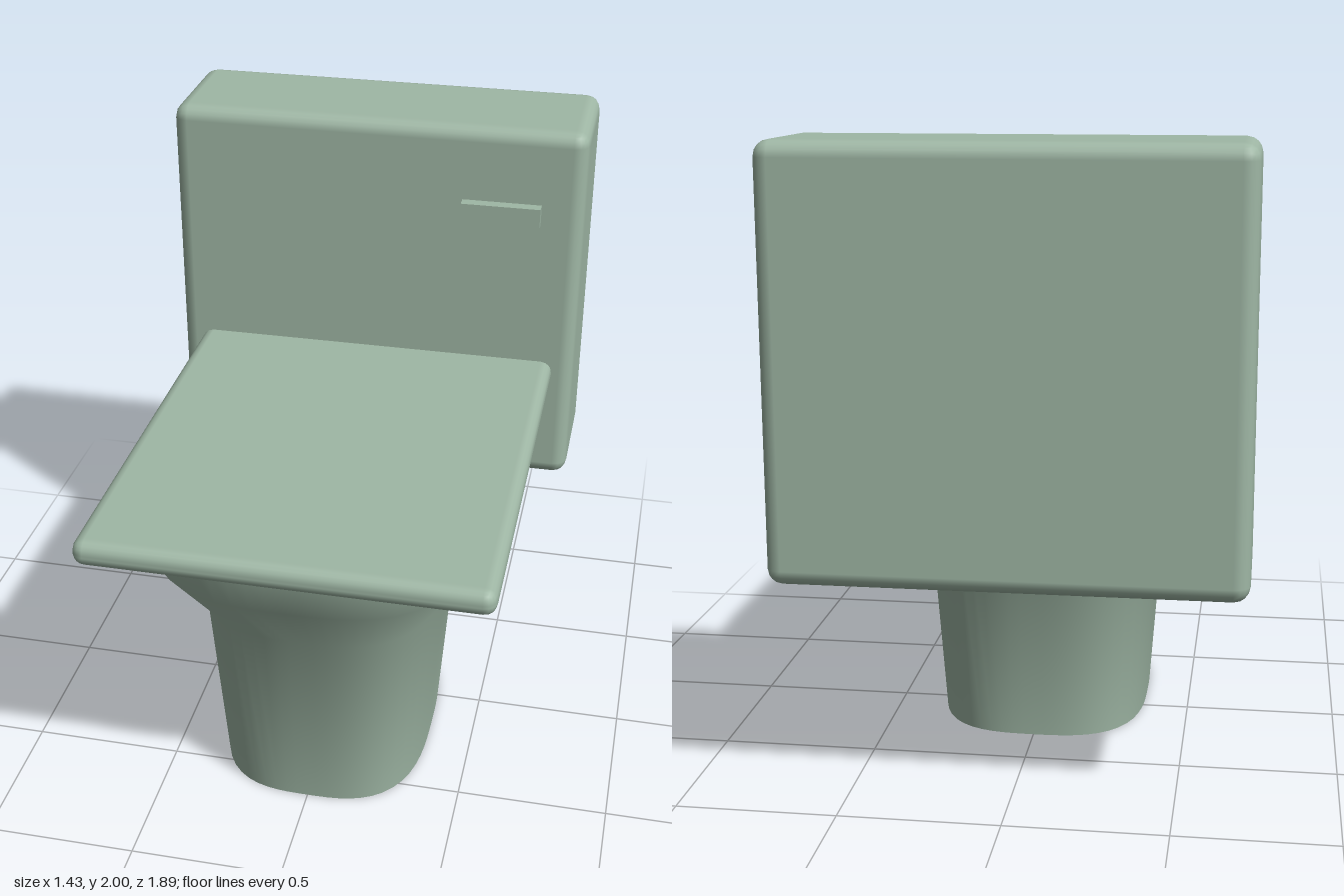
import * as THREE from 'three';
import { toCreasedNormals } from 'three/addons/utils/BufferGeometryUtils.js';
import { RoundedBoxGeometry } from 'three/addons/geometries/RoundedBoxGeometry.js';

const sage = new THREE.MeshStandardMaterial({ color: 0x9fb7a5 });
sage.name = 'sage green ceramic';

// Box given by its minimum and maximum corners, with an optional rounded edge
function block(name, min, max, radius = 0) {
  const size = max.map((v, i) => v - min[i]);
  const geometry = radius
    ? new RoundedBoxGeometry(...size, 2, radius)
    : new THREE.BoxGeometry(...size);
  const mesh = new THREE.Mesh(geometry, sage);
  mesh.name = name;
  mesh.position.set(...max.map((v, i) => (v + min[i]) / 2));
  return mesh;
}

// Pedestal bowl: a lathe whose rings are squared into rounded oblongs
function bowl() {
  // height, half width, half depth
  const rings = [
    [0, 0, 0],
    [0, 0.35, 0.465],
    [0.69, 0.4, 0.525],
    [0.95, 0.545, 0.727],
    [1.08, 0.565, 0.757],
    [1.08, 0, 0],
  ];
  const lathe = new THREE.LatheGeometry(rings.map(([y, w]) => new THREE.Vector2(w, y)), 64);
  const p = lathe.attributes.position;
  for (let i = 0; i < p.count; i++) {
    const [, w, d] = rings[i % rings.length];
    if (w === 0) continue;
    const s = p.getX(i) / w;
    const c = p.getZ(i) / w;
    const k = (Math.abs(s) ** 3 + Math.abs(c) ** 3) ** (-1 / 3);
    p.setX(i, s * k * w);
    p.setZ(i, c * k * d);
  }
  const mesh = new THREE.Mesh(toCreasedNormals(lathe, 1), sage);
  mesh.name = 'bowl';
  mesh.position.z = 0.155;
  return mesh;
}

export function createModel() {
  const group = new THREE.Group();
  group.name = 'toilet';
  group.add(
    bowl(),
    block('lid', [-0.64, 1.067, -0.55], [0.64, 1.155, 0.945], 0.04),
    block('tank', [-0.715, 0.69, -0.945], [0.715, 2, -0.495], 0.05),
    block('flushHandle', [0.3, 1.675, -0.51], [0.57, 1.745, -0.455]),
  );
  return group;
}
